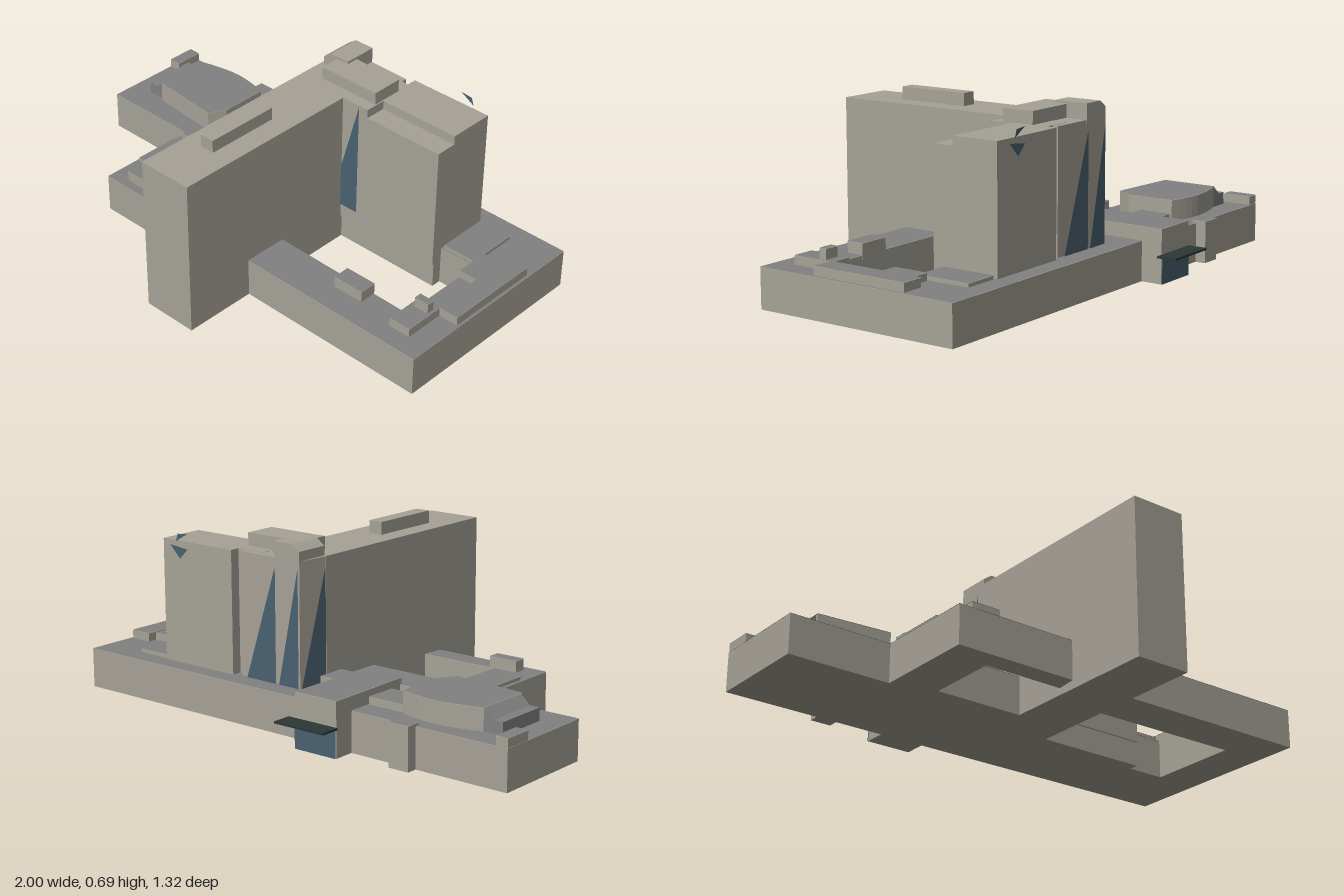
import * as THREE from 'three';

const mat = (name, color, side = THREE.FrontSide) => {
  const m = new THREE.MeshStandardMaterial({ color, side });
  m.name = name;
  return m;
};

export function createModel() {
  const group = new THREE.Group();
  const wall = mat('wall beige', 0xa6a297);
  const roof = mat('roof grey', 0x818181, THREE.DoubleSide);
  const glass = mat('glass blue', 0x4a6070, THREE.DoubleSide);
  const dark = mat('canopy dark', 0x2b3736);

  const add = (name, geometry, material) => {
    const mesh = new THREE.Mesh(geometry, material);
    mesh.name = name;
    group.add(mesh);
    return mesh;
  };

  // Upright prism from a plan outline of [x, z] points, with an optional roof sheet
  const prism = (name, plan, y0, y1, cap = null) => {
    const shape = new THREE.Shape(plan.map(([x, z]) => new THREE.Vector2(x, -z)));
    const body = new THREE.ExtrudeGeometry(shape, { depth: y1 - y0, bevelEnabled: false });
    add(name, body.rotateX(-Math.PI / 2).translate(0, y0, 0), wall);
    if (cap) add(name + 'Roof', new THREE.ShapeGeometry(shape).rotateX(-Math.PI / 2).translate(0, y1 + 0.0015, 0), cap);
  };
  const block = (name, x0, x1, z0, z1, y0, y1, cap = null) =>
    prism(name, [[x0, z0], [x1, z0], [x1, z1], [x0, z1]], y0, y1, cap);

  // Prism from an [x, y] profile running along z
  const profile = (name, pts, z0, z1, material) => {
    const shape = new THREE.Shape(pts.map(([x, y]) => new THREE.Vector2(x, y)));
    const g = new THREE.ExtrudeGeometry(shape, { depth: z1 - z0, bevelEnabled: false });
    add(name, g.translate(0, 0, z0), material);
  };

  // Flat pane as a fan of corners
  const pane = (name, pts) => {
    const g = new THREE.BufferGeometry();
    g.setAttribute('position', new THREE.Float32BufferAttribute(pts.flat(), 3));
    const index = [];
    for (let i = 1; i < pts.length - 1; i++) index.push(0, i, i + 1);
    g.setIndex(index);
    g.computeVertexNormals();
    add(name, g, glass);
  };

  // Podium with its two courtyards
  prism('podium', [
    [-1, -0.5], [1, -0.49], [1, 0.365], [0.18, 0.36], [0.18, 0.18], [0.82, 0.19], [0.82, -0.19],
    [0.66, -0.19], [0.66, -0.15], [0, -0.15], [0, -0.02], [-0.4, -0.02], [-0.4, 0.27],
    [-0.07, 0.27], [-0.08, 0.355], [-0.58, 0.355], [-0.58, -0.07], [-1, -0.07],
  ], 0, 0.155, roof);

  // Tall slab, core and east wing
  block('towerSlab', -0.03, 0.198, -0.28, 0.657, 0, 0.635);
  prism('towerCore', [[-0.03, -0.27], [-0.015, -0.41], [0.28, -0.405], [0.28, -0.15], [0, -0.15]], 0.1, 0.634);
  block('towerWing', 0.31, 0.66, -0.42, -0.23, 0.1, 0.635);
  block('towerWingFront', 0.31, 0.66, -0.24, -0.143, 0.1, 0.6);
  block('towerLink', 0.19, 0.32, -0.38, -0.143, 0.1, 0.635);

  // Rooftop plant rooms
  block('slabPlant', 0.05, 0.11, 0.145, 0.445, 0.62, 0.685);
  block('corePlant', 0.05, 0.315, -0.32, -0.19, 0.62, 0.685);
  profile('cornerPlant', [[-0.015, 0.62], [0.105, 0.62], [0.105, 0.695], [0.02, 0.695], [-0.015, 0.67]], -0.41, -0.27, wall);

  // Slanted glazing on the tower
  pane('frontGlass', [[0.198, 0.155, -0.14], [0.28, 0.155, -0.14], [0.28, 0.63, -0.14], [0.198, 0.33, -0.14]]);
  pane('backGlassA', [[0.245, 0.157, -0.412], [0.1, 0.157, -0.414], [0.1, 0.6, -0.414]]);
  pane('backGlassB', [[0.085, 0.157, -0.414], [-0.01, 0.157, -0.414], [-0.01, 0.61, -0.414]]);
  pane('sideGlass', [[-0.019, 0.157, -0.405], [-0.033, 0.157, -0.285], [-0.033, 0.6, -0.285]]);
  pane('wingShardA', [[0.52, 0.67, -0.435], [0.58, 0.635, -0.435], [0.57, 0.665, -0.435]]);
  pane('wingShardB', [[0.61, 0.62, -0.435], [0.52, 0.61, -0.435], [0.56, 0.57, -0.435]]);

  // Entrance hall with glazed back and canopy
  prism('entranceHall', [[-0.33, -0.582], [-0.14, -0.582], [-0.14, -0.2], [-0.32, -0.2]], 0, 0.21, roof);
  pane('entranceGlass', [[-0.33, 0, -0.586], [-0.14, 0, -0.586], [-0.14, 0.11, -0.586], [-0.33, 0.11, -0.586]]);
  add('canopy', new THREE.BoxGeometry(0.225, 0.008, 0.078).translate(-0.222, 0.11, -0.621), dark);

  // Auditorium with curved back and sloped end
  const plan = [[-0.83, -0.17], [-0.83, -0.4]];
  for (let i = 0; i <= 8; i++) {
    const t = i / 8;
    plan.push([-0.8 + 0.31 * t, -0.41 - 0.025 * Math.sin(Math.PI * t)]);
  }
  plan.push([-0.49, -0.21], [-0.53, -0.145]);
  prism('auditorium', plan, 0.14, 0.24, roof);
  profile('auditoriumEnd', [[-0.91, 0.14], [-0.83, 0.14], [-0.83, 0.24], [-0.87, 0.205], [-0.91, 0.205]], -0.4, -0.18, roof);

  // Low roof blocks: x0, x1, z0, z1, top
  [
    [-0.999, -0.95, -0.498, -0.38, 0.19],
    [-0.615, -0.53, -0.54, -0.48, 0.165],
    [-0.5, -0.33, -0.4, -0.27, 0.185],
    [-0.41, -0.08, -0.21, -0.065, 0.185],
    [-0.15, -0.035, -0.32, -0.2, 0.19],
    [-0.55, -0.44, -0.08, -0.02, 0.19],
    [-0.57, -0.47, 0.0, 0.2, 0.17],
    [-0.5, -0.38, 0.27, 0.32, 0.2],
    [0.53, 0.66, 0.185, 0.255, 0.2],
    [0.82, 0.91, 0.11, 0.285, 0.19],
    [0.9, 0.99, -0.28, 0.12, 0.19],
    [0.82, 0.9, -0.24, -0.1, 0.185],
    [0.84, 0.9, 0.145, 0.175, 0.23],
    [0.67, 0.81, -0.41, -0.195, 0.17],
  ].forEach(([x0, x1, z0, z1, top], i) => {
    block('roofBlock' + (i + 1), x0, x1, z0, z1, i === 1 ? 0 : 0.14, top, roof);
  });

  return group;
}
